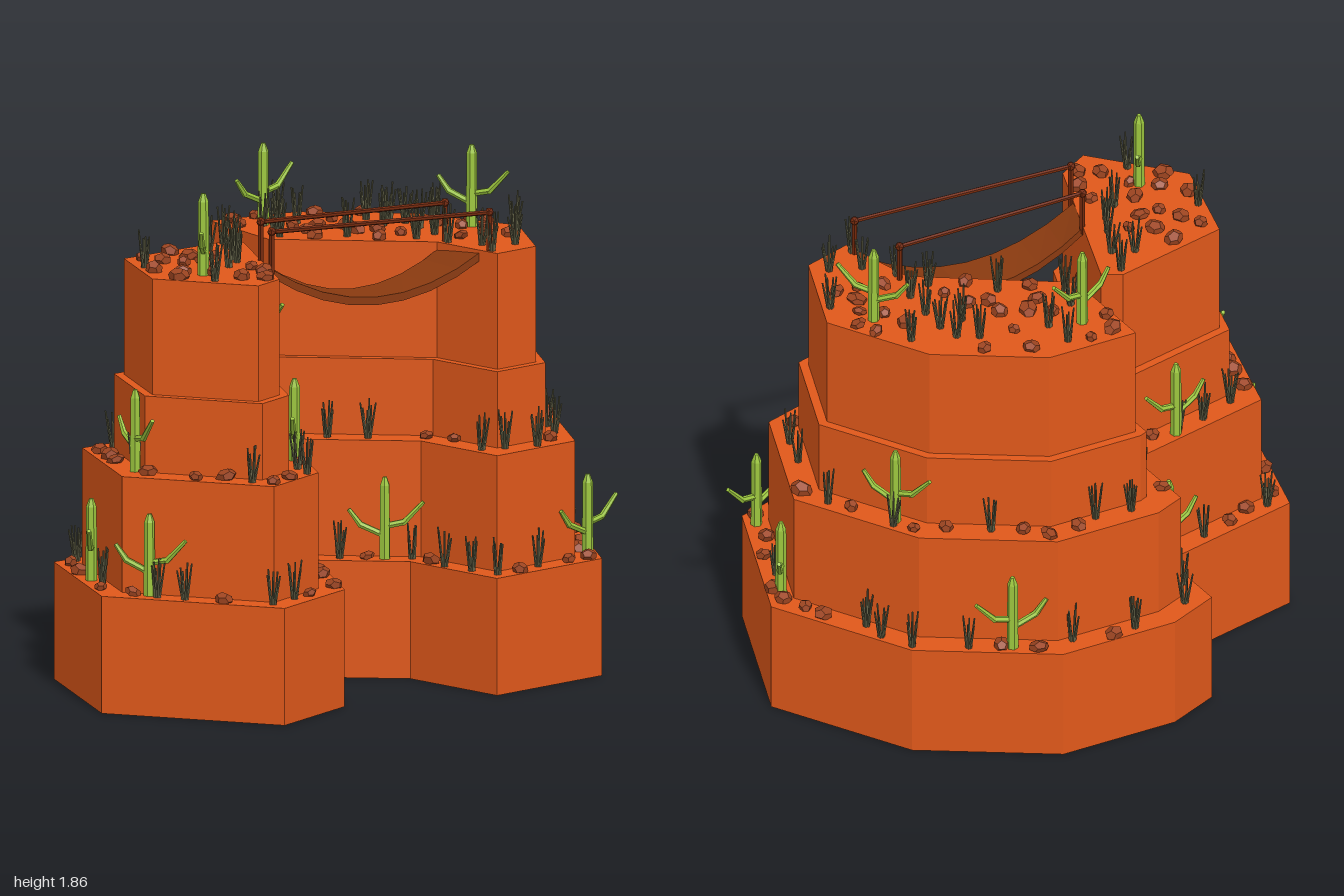
import * as THREE from 'three';
import { mergeGeometries } from 'three/addons/utils/BufferGeometryUtils.js';

const mat = (color, side = THREE.FrontSide) =>
  new THREE.MeshStandardMaterial({ color, side, flatShading: true });
const CLAY = mat(0xe0581a), CAVE = mat(0x9a4416, THREE.DoubleSide), WOOD = mat(0x8a3a10);
const RAIL = mat(0x74290c), CACTUS = mat(0x9cc63e), GRASS = mat(0x66654a), ROCK = mat(0x9c4420);

const HEIGHTS = [0, 0.43, 0.855, 1.135, 1.56];
const INSETS = [0, 0.09, 0.19, 0.222];
const pts = list => list.map(([x, z]) => new THREE.Vector2(x, z));

// Ground outlines (x, z) of the two joined mesas
const BACK = pts([[-0.36, 0.05], [0.28, 0.06], [0.61, 0.34], [0.965, -0.04], [0.83, -0.63],
  [0.31, -0.89], [-0.235, -0.89], [-0.625, -0.66], [-0.75, -0.49]]);
const FRONT = pts([[-1, 0.14], [-0.79, 0.745], [-0.12, 0.92], [0.075, 0.57],
  [-0.16, -0.335], [-0.5, -0.335]]);

let seed = 7;
const rand = (a = 0, b = 1) => {
  seed = (seed * 16807) % 2147483647;
  return a + (b - a) * seed / 2147483647;
};

function mesh(name, geometry, material) {
  const m = new THREE.Mesh(geometry, material);
  m.name = name;
  return m;
}

// Move every edge of an outline inwards by d
function inset(loop, d) {
  const normal = (a, b) => new THREE.Vector2(b.y - a.y, a.x - b.x).normalize();
  return loop.map((p, i) => {
    const n1 = normal(loop.at(i - 1), p), n2 = normal(p, loop[(i + 1) % loop.length]);
    return p.clone().addScaledVector(n1.clone().add(n2), d / (1 + n1.dot(n2)));
  });
}

const planShape = loop => new THREE.Shape(loop.map(p => new THREE.Vector2(p.x, -p.y)));

function tier(name, loop, y0, y1) {
  const g = new THREE.ExtrudeGeometry(planShape(loop), { depth: y1 - y0, bevelEnabled: false });
  return mesh(name, g.rotateX(-Math.PI / 2).translate(0, y0, 0), CLAY);
}

// Cave tunnel: rugged, shrinking arches running into the wall
function cave(arch) {
  const group = new THREE.Group();
  group.name = 'cave';
  const rings = [];
  for (let k = 0; k < 6; k++) {
    const s = 1 - k * 0.09;
    const ring = arch.map(p => new THREE.Vector2(
      0.38 + (p.x - 0.38) * s + (k ? rand(-0.012, 0.012) : 0), 0.004 + (p.y - 0.004) * s));
    rings.push([ring, -k * 0.035]);
    if (k < 5) rings.push([ring, -(k + 1) * 0.035]);
  }
  const pos = [], n = arch.length;
  for (let k = 0; k + 1 < rings.length; k++) for (let i = 0; i < n; i++) {
    const c = (r, j) => [rings[r][0][j % n].x, rings[r][0][j % n].y, rings[r][1]];
    pos.push(...c(k, i), ...c(k, i + 1), ...c(k + 1, i + 1));
    pos.push(...c(k, i), ...c(k + 1, i + 1), ...c(k + 1, i));
  }
  const g = new THREE.BufferGeometry();
  g.setAttribute('position', new THREE.Float32BufferAttribute(pos, 3));
  g.computeVertexNormals();
  const [last, depth] = rings.at(-1);
  group.add(mesh('caveWalls', g, CAVE),
    mesh('caveEnd', new THREE.ShapeGeometry(new THREE.Shape(last)).translate(0, 0, depth), CAVE));
  return group;
}

// Top tier of the front mesa: cap and walls, one of them with the cave mouth
function caveTier(loop, y0, y1) {
  const group = new THREE.Group();
  group.name = 'frontMesaTopTier';
  const cap = new THREE.ShapeGeometry(planShape(loop)).rotateX(-Math.PI / 2).translate(0, y1, 0);
  group.add(mesh('cap', cap, CLAY));
  const arch = pts([[0.19, 0.004], [0.2, 0.1], [0.25, 0.16], [0.34, 0.2], [0.42, 0.195],
    [0.51, 0.15], [0.56, 0.08], [0.57, 0.004]]);
  loop.forEach((a, i) => {
    const b = loop[(i + 1) % loop.length], len = a.distanceTo(b), h = y1 - y0;
    const shape = new THREE.Shape(pts([[0, 0], [len, 0], [len, h], [0, h]]));
    if (i === 3) shape.holes.push(new THREE.Path(arch));
    const wall = mesh('wall', new THREE.ShapeGeometry(shape), CLAY);
    wall.position.set(a.x, y0, a.y);
    wall.rotation.y = Math.atan2(a.y - b.y, b.x - a.x);
    if (i === 3) wall.add(cave(arch));
    group.add(wall);
  });
  return group;
}

// Tapered rod between two points
function rod(a, b, r0, r1 = r0, sides = 6) {
  const d = b.clone().sub(a);
  const g = new THREE.CylinderGeometry(r1, r0, d.length(), sides);
  g.applyQuaternion(new THREE.Quaternion().setFromUnitVectors(
    new THREE.Vector3(0, 1, 0), d.clone().normalize()));
  const mid = a.clone().add(b).multiplyScalar(0.5);
  return g.translate(mid.x, mid.y, mid.z);
}
const v = (x, y, z = 0) => new THREE.Vector3(x, y, z);

function cactus(x, y, z, angle) {
  const g = mergeGeometries([
    rod(v(0, 0), v(0, 0.27), 0.021, 0.019), rod(v(0, 0.27), v(0, 0.3), 0.019, 0.008),
    rod(v(0, 0.085), v(-0.09, 0.125), 0.012), rod(v(-0.085, 0.12), v(-0.13, 0.18), 0.012, 0.008),
    rod(v(0, 0.12), v(0.07, 0.135), 0.012), rod(v(0.065, 0.13), v(0.14, 0.21), 0.012, 0.008),
  ]);
  const m = mesh('cactus', g, CACTUS);
  m.position.set(x, y, z);
  m.rotation.y = angle;
  return m;
}

function tuft(x, y, z) {
  const blades = [], turn = rand(0, 6);
  for (let i = 0; i < 6; i++) {
    const a = turn + i * Math.PI / 3, r = rand(0.015, 0.03);
    blades.push(rod(v(0.008 * Math.cos(a), 0, 0.008 * Math.sin(a)),
      v(r * Math.cos(a), rand(0.1, 0.145), r * Math.sin(a)), 0.005, 0.003, 4));
  }
  return mergeGeometries(blades).translate(x, y, z);
}

function rock(x, y, z) {
  const g = new THREE.DodecahedronGeometry(rand(0.024, 0.036), 0);
  g.scale(rand(0.8, 1.25), rand(0.6, 0.9), rand(0.8, 1.2)).rotateZ(rand(-0.5, 0.5));
  return g.rotateY(rand(0, 6)).translate(x, y + 0.012, z);
}

function inside(loop, x, z) {
  let hit = false;
  loop.forEach((a, i) => {
    const b = loop.at(i - 1);
    if ((a.y > z) !== (b.y > z) && x < (b.x - a.x) * (z - a.y) / (b.y - a.y) + a.x) hit = !hit;
  });
  return hit;
}

// Sagging deck with posts and handrails
function bridge() {
  const group = new THREE.Group();
  group.name = 'bridge';
  const steps = 8, g = new THREE.BoxGeometry(1, 1, 1, steps, 1, 1), p = g.attributes.position;
  const far = [v(-0.26, 0, 0.2), v(0.4, 0, -0.19)], near = [v(-0.21, 0, 0.345), v(0.54, 0, -0.035)];
  for (let i = 0; i < p.count; i++) {
    const t = p.getX(i) + 0.5, q = v(0, 0).lerpVectors(...far, t);
    q.lerp(v(0, 0).lerpVectors(...near, t), p.getZ(i) + 0.5);
    p.setXYZ(i, q.x, 1.545 - 0.56 * t * (1 - t) + 0.03 * p.getY(i), q.z);
  }
  g.computeVertexNormals();
  group.add(mesh('deck', g, WOOD));
  for (const [a, b] of [[v(-0.25, 1.7, 0.2), v(0.39, 1.7, -0.18)], [v(-0.2, 1.7, 0.375), v(0.56, 1.7, -0.02)]]) {
    group.add(mesh('handrail', rod(a, b, 0.009), RAIL));
    for (const e of [a, b]) {
      group.add(mesh('post', rod(v(e.x, 1.53, e.z), v(e.x, 1.7, e.z), 0.011), RAIL));
      group.add(mesh('postKnob', new THREE.IcosahedronGeometry(0.018, 0).translate(e.x, 1.7, e.z), RAIL));
    }
  }
  return group;
}

export function createModel() {
  const root = new THREE.Group();
  root.name = 'terracedMesa';

  // Stacked tiers
  const levels = INSETS.map(d => [inset(BACK, d), inset(FRONT, d)]);
  levels.forEach(([back, front], i) => {
    root.add(tier('backMesaTier', back, HEIGHTS[i], HEIGHTS[i + 1]));
    root.add(i < 3 ? tier('frontMesaTier', front, HEIGHTS[i], HEIGHTS[i + 1])
      : caveTier(front, HEIGHTS[3], HEIGHTS[4]));
  });
  root.add(bridge());

  // Cacti: x, z, ledge, turn
  const H = Math.PI / 2;
  for (const [x, z, level, turn] of [
    [-0.44, 0.48, 4, H], [-0.28, -0.43, 4, 0.8], [0.47, -0.45, 4, -0.3], [-0.28, -0.16, 3, -0.85],
    [-0.12, 0.34, 2, H], [-0.68, 0.57, 2, -1.05], [0.38, -0.69, 2, Math.PI - 0.43], [-0.6, -0.07, 2, 0.75],
    [-0.845, 0.46, 1, -H], [-0.62, 0.72, 1, -0.3], [0.8, -0.53, 1, H], [0.91, -0.09, 1, 0.8],
    [-0.05, -0.85, 1, 0.4], [0.185, 0.01, 1, 0], [-0.58, -0.19, 1, 0.75],
  ]) root.add(cactus(x, HEIGHTS[level], z, turn));

  // Rocks and grass scattered over every ledge, clear of the edges
  const levelAt = (x, z) => levels.findLastIndex(pair => pair.some(l => inside(l, x, z))) + 1;
  const placed = [], rocks = [], tufts = [];
  for (let i = 0; i < 6000 && placed.length < 165; i++) {
    const x = rand(-1, 1), z = rand(-0.92, 0.92), level = levelAt(x, z), m = 0.026;
    if (!level || level === 3) continue;
    if ([[m, 0], [-m, 0], [0, m], [0, -m]].some(([a, b]) => levelAt(x + a, z + b) !== level)) continue;
    if (placed.some(q => Math.hypot(q[0] - x, q[1] - z) < 0.075)) continue;
    placed.push([x, z]);
    if (rand() < (level === 4 ? 0.7 : 0.5)) rocks.push(rock(x, HEIGHTS[level], z));
    else tufts.push(tuft(x, HEIGHTS[level], z));
  }
  // Grass at the cave mouth
  tufts.push(tuft(-0.265, HEIGHTS[3], 0.1));
  root.add(mesh('rocks', mergeGeometries(rocks), ROCK), mesh('grassTufts', mergeGeometries(tufts), GRASS));
  return root;
}
